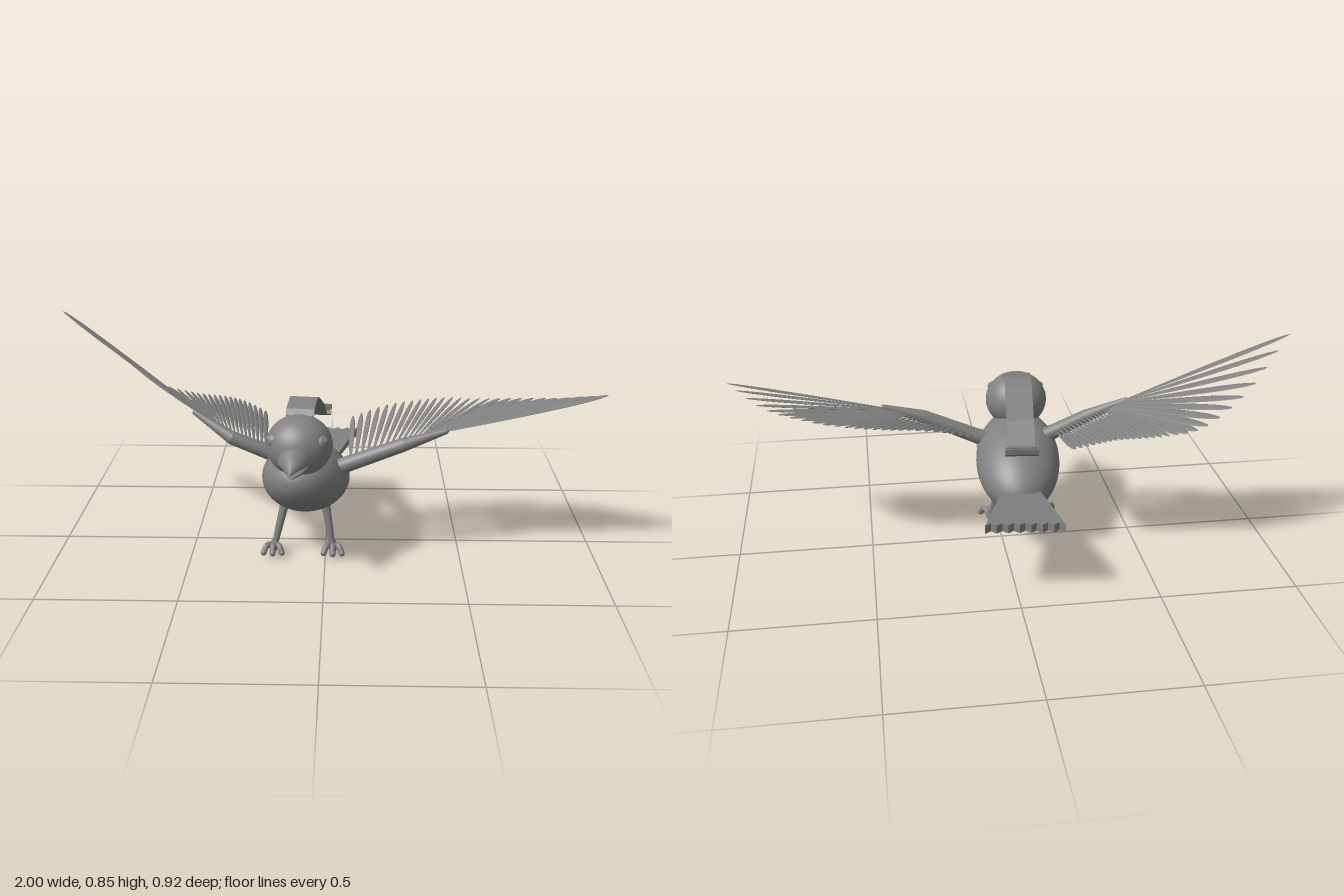
import * as THREE from 'three';

const V = (x, y, z) => new THREE.Vector3(x, y, z);
const grey = new THREE.MeshStandardMaterial({ color: 0x808080, side: THREE.DoubleSide });

function add(parent, name, geometry, x = 0, y = 0, z = 0) {
  const mesh = new THREE.Mesh(geometry, grey);
  mesh.name = name;
  mesh.position.set(x, y, z);
  parent.add(mesh);
  return mesh;
}

function ball(parent, name, radius, p) {
  return add(parent, name, new THREE.SphereGeometry(radius, 24, 16), p.x, p.y, p.z);
}

// Tapered round limb from a to b
function limb(parent, name, a, b, ra, rb) {
  const dir = b.clone().sub(a);
  const mid = a.clone().add(b).multiplyScalar(0.5);
  const mesh = add(parent, name, new THREE.CylinderGeometry(rb, ra, dir.length(), 16), mid.x, mid.y, mid.z);
  mesh.quaternion.setFromUnitVectors(V(0, 1, 0), dir.normalize());
}

// Half-round beak: flat on one side, domed towards up (+1 or -1)
function beak(parent, name, up, rings) {
  const n = 20, pos = [], idx = [];
  for (const [z, flatY, height, halfWidth] of rings)
    for (let i = 0; i < n; i++) {
      const a = (i / n) * Math.PI * 2, s = Math.sin(a);
      pos.push(Math.cos(a) * halfWidth, flatY + up * (s > 0 ? s * height : s * 0.004), z);
    }
  for (let r = 0; r < rings.length - 1; r++)
    for (let i = 0; i < n; i++) {
      const a = r * n + i, b = r * n + (i + 1) % n;
      if (up > 0) idx.push(a, b, a + n, b, b + n, a + n);
      else idx.push(a, a + n, b, b, a + n, b + n);
    }
  const g = new THREE.BufferGeometry();
  g.setAttribute('position', new THREE.Float32BufferAttribute(pos, 3));
  g.setIndex(idx);
  g.computeVertexNormals();
  add(parent, name, g);
}

// Thin leaf-shaped feather of unit length along +y, broadest past the middle
function featherGeometry() {
  const g = new THREE.SphereGeometry(1, 10, 12), p = g.attributes.position;
  for (let i = 0; i < p.count; i++) {
    const t = (p.getY(i) + 1) / 2, w = 0.4 + 0.85 * t;
    p.setXYZ(i, p.getX(i) * w, t, p.getZ(i) * w);
  }
  g.computeVertexNormals();
  return g;
}

// Wing: arm bones with a fan of feathers between a root line and a tip line
function wing(parent, name, joints, roots, tips) {
  const group = new THREE.Group();
  group.name = name;
  parent.add(group);
  const radii = [0.03, 0.025, 0.01];
  for (let i = 0; i < 2; i++) {
    limb(group, 'armBone', joints[i], joints[i + 1], radii[i], radii[i + 1]);
    ball(group, 'armJoint', radii[i + 1], joints[i + 1]);
  }
  const rootLine = new THREE.CatmullRomCurve3(roots);
  const tipLine = new THREE.CatmullRomCurve3(tips);
  const armAxis = roots[0].clone().sub(roots[roots.length - 1]);
  const chord = tips[5].clone().sub(roots[1]);
  const wingNormal = armAxis.cross(chord).normalize();
  const geometry = featherGeometry(), count = 27;
  for (let i = 0; i < count; i++) {
    const t = i / (count - 1);
    const a = rootLine.getPoint(t), dir = tipLine.getPoint(t).sub(a);
    const length = dir.length();
    dir.normalize();
    const across = dir.clone().cross(wingNormal).normalize();
    const normal = across.clone().cross(dir);
    const feather = add(group, 'feather', geometry, a.x, a.y, a.z);
    feather.quaternion.setFromRotationMatrix(new THREE.Matrix4().makeBasis(across, dir, normal));
    feather.scale.set(t < 0.35 ? 0.021 : 0.012, length, 0.003);
  }
}

// Leg standing on its heel, with three curled front toes and one rear toe
function leg(parent, name, hip, heel) {
  const group = new THREE.Group();
  group.name = name;
  parent.add(group);
  limb(group, 'shank', hip, heel, 0.018, 0.011);
  ball(group, 'heel', 0.012, heel);
  for (const [angle, reach, rise] of [[-0.6, 0.06, 0.034], [0, 0.056, 0.034], [0.6, 0.06, 0.034], [Math.PI, 0.04, 0.024]]) {
    const curve = new THREE.CatmullRomCurve3([
      V(0, 0, 0), V(0, rise - 0.004, reach * 0.4), V(0, rise - 0.004, reach * 0.7), V(0, 0.01, reach)]);
    const toe = add(group, 'toe', new THREE.TubeGeometry(curve, 14, 0.011, 12), heel.x, heel.y, heel.z);
    toe.rotation.y = angle;
    const tip = V(0, 0.01, reach).applyAxisAngle(V(0, 1, 0), angle).add(heel);
    ball(group, 'claw', 0.011, tip);
  }
}

// Fan tail: serrated slab that thickens towards its end
function tailGeometry() {
  const shape = new THREE.Shape(), teeth = 7, length = 0.325;
  shape.moveTo(-0.068, 0);
  shape.lineTo(-0.138, length);
  for (let i = 0; i < teeth; i++) {
    const x = -0.138 + (0.276 * i) / teeth, step = 0.276 / teeth;
    shape.lineTo(x + step / 2, length - 0.018);
    shape.lineTo(x + step, length);
  }
  shape.lineTo(0.068, 0);
  const g = new THREE.ExtrudeGeometry(shape, { depth: 1, bevelEnabled: false });
  g.rotateX(-Math.PI / 2);
  const p = g.attributes.position;
  for (let i = 0; i < p.count; i++) {
    const t = -p.getZ(i) / length;
    p.setY(i, (p.getY(i) - 0.5) * (0.014 + 0.018 * t) + 0.026 * t);
  }
  g.computeVertexNormals();
  return g;
}

// Ribbon: a [z, y] path given thickness and extruded across x
function ribbonGeometry(path, width, thickness) {
  const pts = path.map(([z, y]) => new THREE.Vector2(z, y));
  const back = pts.map((p, i) => {
    const d = pts[Math.min(i + 1, pts.length - 1)].clone().sub(pts[Math.max(i - 1, 0)]).normalize();
    return new THREE.Vector2(p.x - d.y * thickness, p.y + d.x * thickness);
  });
  const shape = new THREE.Shape([...pts, ...back.reverse()]);
  const g = new THREE.ExtrudeGeometry(shape, { depth: width, bevelEnabled: false });
  g.rotateY(-Math.PI / 2);
  g.translate(width / 2, 0, 0);
  return g;
}

export function createModel() {
  const model = new THREE.Group();
  model.name = 'bird';

  // Trunk parts share a slight turn to one side
  const trunk = new THREE.Group();
  trunk.name = 'trunk';
  trunk.position.set(-0.072, 0, 0.07);
  trunk.rotation.y = -0.1;
  model.add(trunk);

  const body = add(trunk, 'body', new THREE.SphereGeometry(1, 48, 32), 0, 0.294, 0);
  body.scale.set(0.16, 0.131, 0.257);
  body.rotation.x = -0.3;
  const head = add(trunk, 'head', new THREE.SphereGeometry(1, 40, 28), 0, 0.478, 0.166);
  head.scale.set(0.118, 0.108, 0.112);

  for (const side of [-1, 1]) {
    ball(trunk, 'eye', 0.028, V(side * 0.08, 0.507, 0.212));
    ball(trunk, 'pupil', 0.014, V(side * 0.095, 0.514, 0.216));
  }

  // Rings: z, height of the flat side, dome height, half width
  beak(trunk, 'upperBeak', 1, [
    [0.24, 0.458, 0.042, 0.052], [0.285, 0.457, 0.054, 0.058], [0.308, 0.456, 0.055, 0.053],
    [0.35, 0.455, 0.026, 0.026], [0.39, 0.452, 0.001, 0.001]]);
  beak(trunk, 'lowerBeak', -1, [
    [0.24, 0.444, 0.036, 0.05], [0.28, 0.438, 0.028, 0.045],
    [0.32, 0.43, 0.014, 0.026], [0.355, 0.423, 0.001, 0.001]]);

  add(trunk, 'tail', tailGeometry(), 0, 0.259, -0.195);

  // Ribbon over the head, trailing behind with a curled end
  add(trunk, 'ribbon', ribbonGeometry([
    [0.15, 0.58], [0.132, 0.6], [0.12, 0.604], [0.045, 0.617], [-0.01, 0.597], [-0.15, 0.525],
    [-0.225, 0.463], [-0.27, 0.444]], 0.1, 0.004));
  add(trunk, 'ribbonCurl', ribbonGeometry([
    [-0.235, 0.457], [-0.27, 0.44], [-0.293, 0.457], [-0.295, 0.478]], 0.12, -0.003));
  add(trunk, 'ribbonCurlInner', ribbonGeometry([
    [-0.27, 0.448], [-0.279, 0.457], [-0.277, 0.478]], 0.11, -0.003));

  wing(model, 'rightWing',
    [V(-0.13, 0.36, 0.085), V(-0.34, 0.45, 0.095), V(-0.48, 0.53, 0.045)],
    [V(-0.46, 0.525, 0.045), V(-0.39, 0.485, 0.068), V(-0.22, 0.4, 0.08)],
    [V(-1, 0.85, -0.19), V(-0.83, 0.67, -0.28), V(-0.68, 0.545, -0.28), V(-0.56, 0.515, -0.265),
      V(-0.47, 0.505, -0.25), V(-0.39, 0.5, -0.24), V(-0.32, 0.485, -0.23), V(-0.24, 0.455, -0.2)]);
  wing(model, 'leftWing',
    [V(0.03, 0.35, 0.14), V(0.28, 0.455, 0.165), V(0.43, 0.505, 0.16)],
    [V(0.4, 0.497, 0.158), V(0.33, 0.472, 0.157), V(0.09, 0.375, 0.145)],
    [V(0.998, 0.64, 0.145), V(0.86, 0.585, 0.01), V(0.71, 0.56, -0.06), V(0.57, 0.545, -0.1),
      V(0.45, 0.54, -0.125), V(0.34, 0.53, -0.12), V(0.22, 0.51, -0.115), V(0.1, 0.47, -0.1)]);

  leg(model, 'rightLeg', V(-0.145, 0.22, 0.08), V(-0.195, 0.012, 0.117));
  leg(model, 'leftLeg', V(-0.005, 0.22, 0.08), V(0.028, 0.012, 0.117));
  return model;
}
